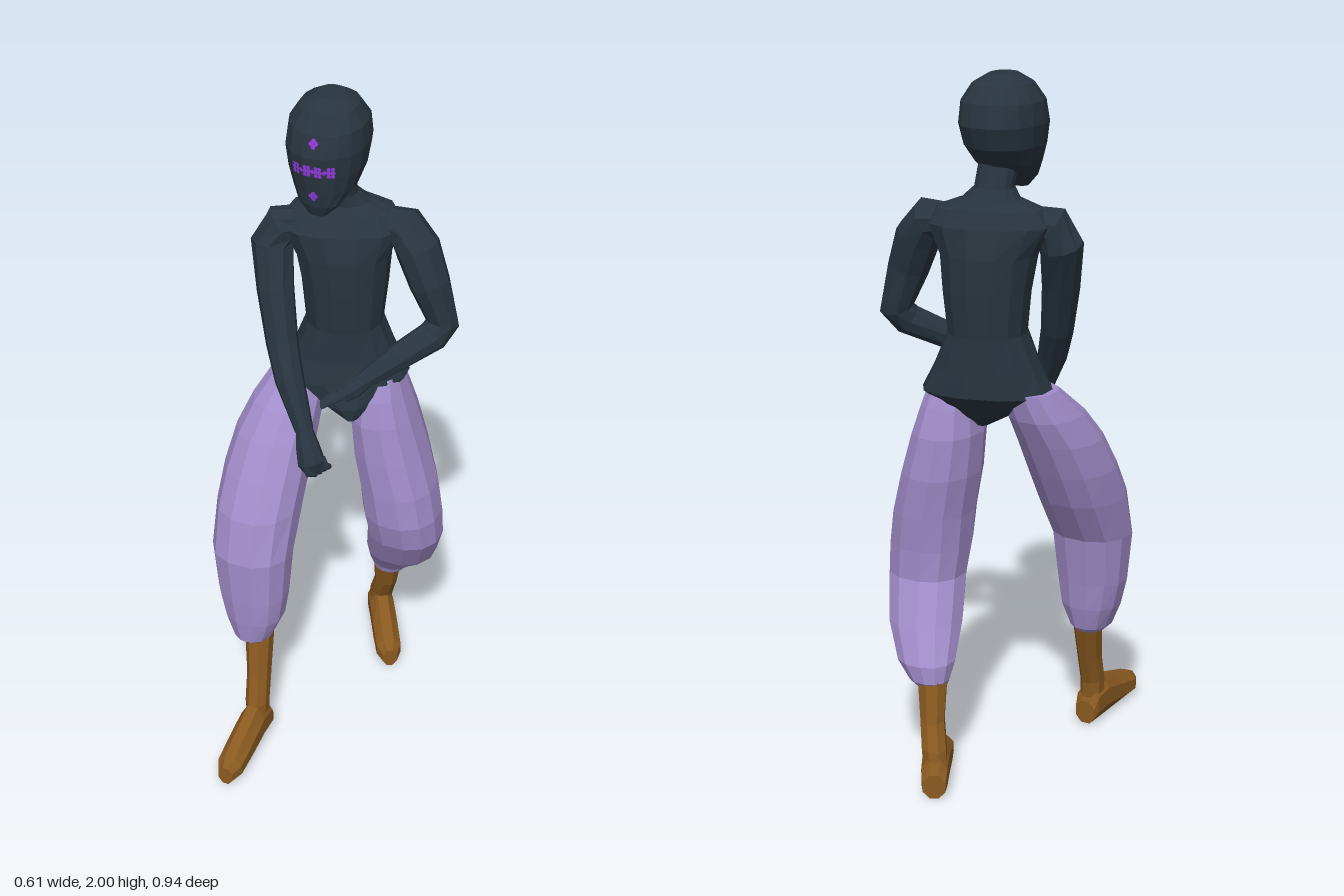
import * as THREE from 'three';

const V = (x, y, z) => new THREE.Vector3(x, y, z);
const mat = (name, color) => Object.assign(new THREE.MeshStandardMaterial({ color }), { name });

// Skin a capped, faceted surface over rings {c, u, v}, where u x v points along the path
function loft(rings, sides = 12, power = 2, turn = 0) {
  const pos = [], idx = [], n = rings.length;
  const bend = (s) => Math.sign(s) * Math.abs(s) ** (2 / power);
  for (const { c, u, v } of rings)
    for (let j = 0; j < sides; j++) {
      const t = turn + (j / sides) * Math.PI * 2;
      pos.push(...c.clone().addScaledVector(u, bend(Math.cos(t))).addScaledVector(v, bend(Math.sin(t))).toArray());
    }
  pos.push(...rings[0].c.toArray(), ...rings[n - 1].c.toArray());
  for (let i = 0; i < n - 1; i++)
    for (let j = 0; j < sides; j++) {
      const k = (j + 1) % sides, a = i * sides, b = a + sides;
      idx.push(a + j, a + k, b + k, a + j, b + k, b + j);
    }
  for (let j = 0; j < sides; j++) {
    const k = (j + 1) % sides, e = (n - 1) * sides;
    idx.push(n * sides, k, j, n * sides + 1, e + j, e + k);
  }
  const g = new THREE.BufferGeometry();
  g.setAttribute('position', new THREE.Float32BufferAttribute(pos, 3));
  g.setIndex(idx);
  const flat = g.toNonIndexed();
  flat.computeVertexNormals();
  return flat;
}

// Level rings from bottom to top: [y, x, z, half width, half depth]
const level = (rows, yaw = 0) => rows.map(([y, x, z, rx, rz]) => ({
  c: V(x, y, z),
  u: V(Math.cos(yaw), 0, -Math.sin(yaw)).multiplyScalar(rx),
  v: V(-Math.sin(yaw), 0, -Math.cos(yaw)).multiplyScalar(rz),
}));

// Rings square to a path: [x, y, z, radius]
function limb(rows) {
  const p = rows.map((r) => V(r[0], r[1], r[2]));
  return p.map((c, i) => {
    const t = V(0, 0, 0);
    if (i > 0) t.add(c.clone().sub(p[i - 1]).normalize());
    if (i < p.length - 1) t.add(p[i + 1].clone().sub(c).normalize());
    t.normalize();
    const u = V(0, 0, 1).cross(t).normalize();
    const v = t.clone().cross(u);
    return { c, u: u.multiplyScalar(rows[i][3]), v: v.multiplyScalar(rows[i][3]) };
  });
}

// Foot from heel to toe, chamfered box sections: [distance, half width, height]
function foot(heel, angle) {
  const f = V(Math.sin(angle), 0, Math.cos(angle));
  const side = V(Math.cos(angle), 0, -Math.sin(angle));
  const k = 1 / Math.cos(Math.PI / 8);
  const rows = [[0, 0.032, 0.07], [0.02, 0.037, 0.115], [0.08, 0.038, 0.13],
    [0.17, 0.039, 0.1], [0.25, 0.038, 0.075], [0.285, 0.022, 0.06]];
  return loft(rows.map(([d, w, h]) => ({
    c: heel.clone().addScaledVector(f, d).setY(h / 2),
    u: side.clone().multiplyScalar(w * k),
    v: V(0, h / 2 * k, 0),
  })), 8, 2, Math.PI / 8);
}

export function createModel() {
  const model = new THREE.Group();
  model.name = 'figure';
  const suit = mat('darkSuit', 0x28343f), cloth = mat('lilacCloth', 0xa18dca);
  const leather = mat('brownLeather', 0x8a5a20), glow = mat('violetMark', 0x9038dc);
  const add = (name, geometry, material) => {
    const m = new THREE.Mesh(geometry, material);
    m.name = name;
    model.add(m);
    return m;
  };

  // Torso, turned with the right shoulder forward, and neck
  add('torso', loft(level([
    [1.02, 0.015, -0.12, 0.025, 0.06], [1.06, 0, -0.14, 0.085, 0.09],
    [1.13, -0.025, -0.17, 0.185, 0.112], [1.2, -0.028, -0.175, 0.15, 0.108],
    [1.3, -0.03, -0.178, 0.11, 0.105], [1.42, -0.03, -0.18, 0.122, 0.112],
    [1.52, -0.035, -0.178, 0.135, 0.113], [1.6, -0.04, -0.178, 0.175, 0.1],
    [1.645, -0.04, -0.185, 0.145, 0.075], [1.67, -0.046, -0.185, 0.08, 0.058],
    [1.7, -0.05, -0.175, 0.055, 0.052], [1.78, -0.055, -0.155, 0.055, 0.05],
  ], 0.33), 14, 2.3), suit);

  // Head with a flattened face
  const head = add('head', loft(level([
    [1.685, -0.06, -0.062, 0.026, 0.02], [1.72, -0.06, -0.08, 0.062, 0.05],
    [1.76, -0.06, -0.117, 0.085, 0.093], [1.81, -0.062, -0.138, 0.102, 0.12],
    [1.87, -0.064, -0.148, 0.111, 0.133], [1.93, -0.064, -0.151, 0.106, 0.118],
    [1.975, -0.064, -0.152, 0.078, 0.086], [2, -0.064, -0.152, 0.036, 0.045],
  ]), 16, 2.25, Math.PI / 16), suit);

  // Face marks: small chips laid on the face
  const marks = new THREE.Group();
  marks.name = 'faceMarks';
  model.add(marks);
  const ray = new THREE.Raycaster();
  const chip = (x, y, r) => {
    ray.set(V(x, y, 1), V(0, 0, -1));
    const hit = ray.intersectObject(head)[0];
    if (!hit) return;
    const m = new THREE.Mesh(new THREE.CircleGeometry(r, 6), glow);
    m.name = 'faceMark';
    m.position.copy(hit.point).addScaledVector(hit.face.normal, 0.003);
    m.lookAt(m.position.clone().add(hit.face.normal));
    marks.add(m);
  };
  for (const y of [1.908, 1.755])
    for (const [dx, dy] of [[-0.007, 0], [0.007, 0.001], [0, 0.008], [0, -0.008]]) chip(-0.06 + dx, y + dy, 0.007);
  for (let i = -5; i <= 5; i++) {
    chip(-0.06 + i * 0.0105, 1.832, 0.007);
    if (i % 3) for (const s of [-1, 1]) chip(-0.06 + i * 0.0105, 1.832 + s * 0.011, 0.006);
  }

  // Arms
  add('rightArm', loft(limb([
    [-0.13, 1.605, -0.14, 0.045], [-0.19, 1.595, -0.11, 0.058], [-0.212, 1.54, -0.095, 0.061],
    [-0.185, 1.42, -0.05, 0.053], [-0.148, 1.28, -0.005, 0.046], [-0.11, 1.19, 0.035, 0.042],
    [-0.05, 1.06, 0.075, 0.027],
  ]), 9), suit);
  add('leftArm', loft(limb([
    [0.06, 1.605, -0.215, 0.045], [0.13, 1.6, -0.215, 0.06], [0.175, 1.545, -0.205, 0.064],
    [0.215, 1.45, -0.195, 0.058], [0.254, 1.33, -0.2, 0.048], [0.235, 1.295, -0.175, 0.045],
    [0.15, 1.24, -0.1, 0.038], [0.075, 1.185, -0.03, 0.024],
  ]), 9), suit);

  // Closed right hand
  add('rightFist', loft(limb([
    [-0.052, 1.065, 0.073, 0.024], [-0.035, 1.02, 0.088, 0.034],
    [-0.02, 0.975, 0.098, 0.04], [-0.01, 0.945, 0.1, 0.026],
  ]), 8), suit);
  for (let i = 0; i < 4; i++) {
    const s = i * 0.016;
    add('rightFinger', loft(limb([
      [-0.025 + s * 0.7, 0.985, 0.132 - s, 0.01], [-0.015 + s * 0.7, 0.955, 0.13 - s, 0.011],
      [0 + s * 0.4, 0.945, 0.11 - s, 0.009],
    ]), 6), suit);
  }

  // Open left hand with spread fingers
  add('leftPalm', loft(limb([
    [0.085, 1.19, -0.035, 0.024], [0.058, 1.172, -0.015, 0.03], [0.035, 1.155, 0.002, 0.024],
  ]), 8), suit);
  for (let i = 0; i < 4; i++) {
    const s = i * 0.013;
    add('leftFinger', loft(limb([
      [0.055 - s, 1.165 - s * 0.4, 0.005 - s * 0.4, 0.01], [0.02 - s * 0.8, 1.15 - s * 0.5, 0.03 - s * 0.6, 0.009],
      [-0.008 - s * 0.4, 1.135 - s * 0.4, 0.055 - s, 0.006],
    ]), 6), suit);
  }

  // Baggy trouser legs
  add('rightTrouserLeg', loft(level([
    [0.335, -0.178, 0.155, 0.045, 0.055], [0.35, -0.18, 0.155, 0.058, 0.07],
    [0.42, -0.18, 0.15, 0.088, 0.083], [0.5, -0.184, 0.147, 0.104, 0.09],
    [0.65, -0.189, 0.135, 0.118, 0.106], [0.78, -0.19, 0.075, 0.122, 0.132],
    [0.88, -0.187, 0.02, 0.122, 0.13], [0.98, -0.178, -0.035, 0.115, 0.125],
    [1.06, -0.163, -0.085, 0.1, 0.115], [1.14, -0.142, -0.14, 0.076, 0.08],
  ]), 12, 2.2, Math.PI / 12), cloth);
  add('leftTrouserLeg', loft(level([
    [0.29, 0.06, -0.342, 0.045, 0.04], [0.31, 0.064, -0.346, 0.058, 0.052],
    [0.36, 0.085, -0.328, 0.084, 0.074], [0.45, 0.128, -0.262, 0.106, 0.1],
    [0.57, 0.16, -0.2, 0.112, 0.105], [0.66, 0.154, -0.188, 0.116, 0.118],
    [0.76, 0.14, -0.19, 0.113, 0.124], [0.88, 0.112, -0.193, 0.107, 0.127],
    [1, 0.09, -0.19, 0.094, 0.12], [1.08, 0.083, -0.187, 0.076, 0.1], [1.14, 0.08, -0.187, 0.06, 0.075],
  ]), 12, 2.2, Math.PI / 12), cloth);

  // Boots
  add('rightBootShaft', loft(level([
    [0.06, -0.147, 0.22, 0.034, 0.036], [0.13, -0.148, 0.222, 0.035, 0.042],
    [0.22, -0.153, 0.193, 0.035, 0.044], [0.37, -0.167, 0.15, 0.043, 0.053],
  ]), 8, 2, Math.PI / 8), leather);
  add('leftBootShaft', loft(level([
    [0.06, -0.002, -0.42, 0.034, 0.036], [0.13, 0.012, -0.405, 0.037, 0.041],
    [0.2, 0.035, -0.377, 0.036, 0.04], [0.33, 0.054, -0.345, 0.045, 0.045],
  ], 0.5), 8, 2, Math.PI / 8), leather);
  add('rightFoot', foot(V(-0.147, 0, 0.18), 0), leather);
  add('leftFoot', foot(V(-0.018, 0, -0.455), 0.5), leather);

  return model;
}
